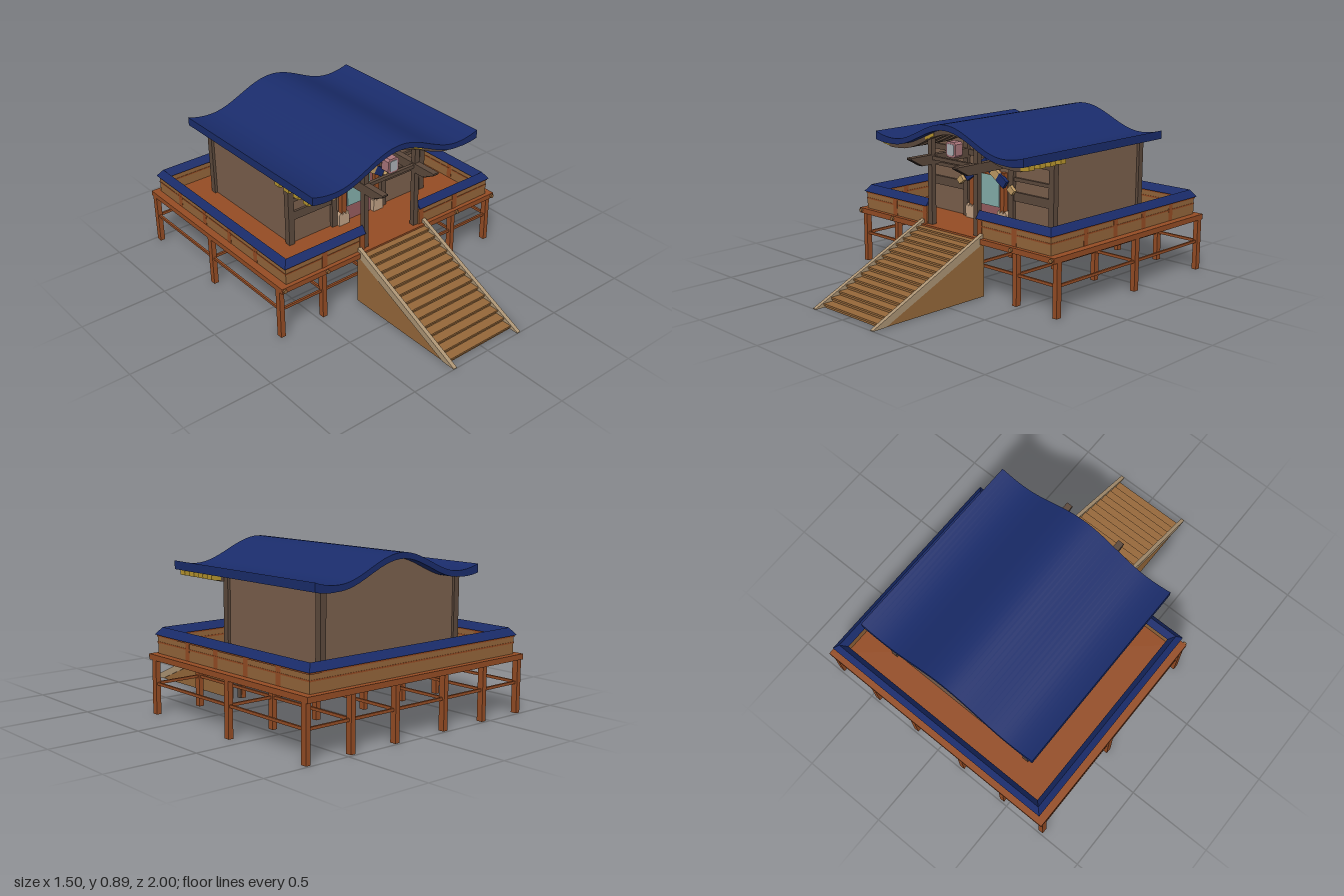
import * as THREE from 'three';
import { toCreasedNormals } from 'three/addons/utils/BufferGeometryUtils.js';

const paint = (color) => new THREE.MeshStandardMaterial({ color });
const M = {
  blue: paint(0x1a2c6b), orange: paint(0x944c24), fence: paint(0x93653a), wall: paint(0x7a5f4c),
  dark: paint(0x5c493c), black: paint(0x352a24), tan: paint(0xbf9a63), stone: paint(0xbfa083),
  gold: paint(0xb8962e), stair: paint(0x96683a), rail: paint(0xac9474), pink: paint(0x965c5e),
  teal: paint(0x84aeaa), frame: paint(0xa8747a), plaque: paint(0xaab0b4),
};

export function createModel() {
  const root = new THREE.Group();

  const add = (name, geo, mat, x = 0, y = 0, z = 0) => {
    const mesh = new THREE.Mesh(geo, mat);
    mesh.name = name;
    mesh.position.set(x, y, z);
    root.add(mesh);
    return mesh;
  };
  // Box given by its lower and upper limits on each axis
  const box = (name, mat, x0, x1, y0, y1, z0, z1) =>
    add(name, new THREE.BoxGeometry(x1 - x0, y1 - y0, z1 - z0), mat, (x0 + x1) / 2, (y0 + y1) / 2, (z0 + z1) / 2);
  // Outline in the x-y plane, extruded from z0 to z1
  const slab = (name, mat, pts, z0, z1) => {
    const shape = new THREE.Shape(pts.map((p) => new THREE.Vector2(p[0], p[1])));
    const geo = new THREE.ExtrudeGeometry(shape, { depth: z1 - z0, bevelEnabled: false });
    return add(name, toCreasedNormals(geo, 0.5), mat, 0, 0, z0);
  };
  // Outline in the z-y plane, extruded from x0 to x1
  const sideSlab = (name, mat, pts, x0, x1) => {
    const mesh = slab(name, mat, pts.map(([z, y]) => [-z, y]), 0, x1 - x0);
    mesh.rotation.y = Math.PI / 2;
    mesh.position.set(x0, 0, 0);
    return mesh;
  };

  // ---- Curved roof profile: swelling centre, upturned eaves
  const roofTop = (x) => {
    const a = Math.abs(x);
    return a < 0.42 ? 0.8335 + 0.0615 * Math.cos((Math.PI * a) / 0.42) : 0.772 + 1.17 * (a - 0.42) ** 2;
  };
  const roofBottom = (x) => roofTop(x) - 0.032 - Math.max(0, Math.abs(x) - 0.42) * 0.1;
  const curve = (x0, x1, f, n = 48) =>
    Array.from({ length: n + 1 }, (_, i) => { const x = x0 + ((x1 - x0) * i) / n; return [x, f(x)]; });
  const band = (x0, x1, top, bottom, n) => [...curve(x0, x1, bottom, n), ...curve(x1, x0, top, n)];

  slab('roof', M.blue, band(-0.563, 0.563, roofTop, roofBottom), -0.835, 0.295);

  // Curved rafters under the front eave, with gilt ends
  const under = (d) => (x) => roofBottom(x) - d;
  for (const z of [-0.01, 0.068, 0.148, 0.23]) {
    slab('rafter', M.dark, band(-0.5, 0.5, under(-0.002), under(0.028)), z - 0.02, z + 0.02);
    for (const s of [-1, 1]) {
      const [a, b] = s < 0 ? [-0.558, -0.5] : [0.5, 0.558];
      slab('rafterTip', M.gold, band(a, b, under(-0.002), under(0.024), 4), z - 0.02, z + 0.02);
    }
  }
  for (const s of [-1, 1]) {
    const [a, b] = s < 0 ? [-0.2, -0.13] : [0.13, 0.2];
    slab('bracketTip', M.gold, band(a, b, under(0.006), under(0.022), 6), 0.245, 0.255);
  }

  // ---- Hall
  slab('hallBody', M.wall, [[-0.465, 0.32], [0.465, 0.32], ...curve(0.465, -0.465, under(-0.004))], -0.768, -0.045);
  for (const s of [-1, 1]) {
    for (const z of [-0.045, -0.763]) {
      box('cornerPillar', M.dark, s * 0.463 - 0.018, s * 0.463 + 0.018, 0.32, 0.745, z - 0.018, z + 0.018);
    }
    box('innerPillar', M.dark, s * 0.175 - 0.017, s * 0.175 + 0.017, 0.32, 0.81, -0.06, -0.025);
    for (const [y, h] of [[0.49, 0.05], [0.585, 0.02]]) {
      const x = s * 0.318;
      box('wallBeam', M.dark, x - 0.13, x + 0.13, y - h / 2, y + h / 2, -0.05, -0.032);
    }
  }
  box('lintel', M.dark, -0.46, 0.46, 0.67, 0.702, -0.05, -0.03);

  // ---- Doorway
  box('doorSurround', M.pink, -0.105, 0.105, 0.32, 0.59, -0.05, -0.036);
  box('doorPanel', M.teal, -0.08, 0.08, 0.41, 0.582, -0.05, -0.03);
  slab('doorGable', M.orange, [[-0.13, 0.585], [0.13, 0.585], [0, 0.66]], -0.04, -0.02);
  const slope = (x) => 0.682 - 0.68 * x;
  const parts = [[0, 0.065, M.blue], [0.065, 0.11, M.tan], [0.11, 0.165, M.blue]];
  for (const s of [-1, 1]) {
    const mirror = (pts) => (s > 0 ? pts : pts.map(([x, y]) => [-x, y]).reverse());
    box('doorPost', M.orange, s * 0.117 - 0.015, s * 0.117 + 0.015, 0.32, 0.61, -0.045, -0.015);
    slab('postFoot', M.stone, mirror([[0.088, 0.32], [0.157, 0.32], [0.157, 0.385], [0.146, 0.402],
      [0.134, 0.384], [0.122, 0.4], [0.11, 0.384], [0.099, 0.402], [0.088, 0.39]]), -0.05, -0.008);
    // Striped bargeboard over the door; its stripes are cut square to the slope
    for (const [a, b, mat] of parts) {
      const ca = a === 0 ? 0 : 0.027, cb = 0.027;
      slab('bargeboard', mat, mirror([[a - ca, slope(a) - (a === 0 ? 0.058 : 0.04)],
        [b - cb, slope(b) - 0.04], [b, slope(b)], [a, slope(a)]]), -0.022, 0);
    }
    slab('bargeboardTip', M.tan, mirror([[0.165, 0.528], [0.2, 0.502], [0.222, 0.527], [0.19, 0.555]]), -0.022, 0);
  }

  // ---- Porch: pillars, projecting beams, cross beam and hanging plaque
  for (const s of [-1, 1]) {
    const x = s * 0.175;
    box('porchPillar', M.dark, x - 0.015, x + 0.015, 0, 0.815, 0.213, 0.243);
    sideSlab('porchBeam', M.dark, [[-0.045, 0.655], [-0.045, 0.708], [0.39, 0.708], [0.39, 0.7], [0.31, 0.655]], x - 0.018, x + 0.018);
    sideSlab('beamNose', M.black, [[0.312, 0.654], [0.312, 0.66], [0.391, 0.704], [0.391, 0.698]], x - 0.0185, x + 0.0185);
  }
  box('porchCrossBeam', M.dark, -0.165, 0.165, 0.68, 0.7, 0.218, 0.238);
  const octagon = (w, h, c) => [[-w + c, -h], [w - c, -h], [w, -h + c], [w, h - c], [w - c, h], [-w + c, h], [-w, h - c], [-w, -h + c]]
    .map(([x, y]) => [x, y + 0.758]);
  slab('plaqueFrame', M.frame, octagon(0.036, 0.042, 0.012), 0.2, 0.252);
  slab('plaqueFace', M.plaque, octagon(0.024, 0.03, 0.006), 0.245, 0.256);

  // ---- Raised platform on a grid of posts
  box('platform', M.orange, -0.75, 0.75, 0.29, 0.32, -1, 0.272);
  const cols = [-0.735, -0.46, -0.17, 0.17, 0.46, 0.735], rows = [-0.972, -0.4, 0.228];
  for (const x of cols) {
    for (const z of rows) box('platformPost', M.orange, x - 0.014, x + 0.014, 0, 0.295, z - 0.017, z + 0.017);
    box('tieRailLong', M.orange, x - 0.006, x + 0.006, 0.158, 0.173, rows[0], rows[2]);
    if (Math.abs(x) > 0.2) {
      const log = new THREE.CylinderGeometry(0.011, 0.011, 0.04, 10).rotateX(Math.PI / 2);
      add('logEnd', log, M.fence, x, 0.306, 0.262);
    }
  }
  for (const z of rows) box('tieRailCross', M.orange, cols[0], cols[5], 0.158, 0.173, z - 0.006, z + 0.006);

  // ---- Fence: a profile of [inset, height] swept round the platform with mitred corners
  const sweep = (name, mat, profile) => {
    const X = 0.72, F = 0.26, B = -0.978, G = 0.192;
    const rings = profile.map(([o, y]) => [[-G, F - o], [o - X, F - o], [o - X, B + o], [X - o, B + o], [X - o, F - o], [G, F - o]]
      .map(([x, z]) => [x, y, z]));
    const pos = [], n = profile.length;
    const tri = (...pts) => pts.forEach((p) => pos.push(...p));
    for (let j = 0; j < n; j++) {
      const p = rings[j], q = rings[(j + 1) % n];
      for (let i = 0; i < 5; i++) {
        tri(p[i], q[i], q[i + 1]);
        tri(p[i], q[i + 1], p[i + 1]);
      }
    }
    for (let j = 1; j < n - 1; j++) {
      tri(rings[0][0], rings[j + 1][0], rings[j][0]);
      tri(rings[0][5], rings[j][5], rings[j + 1][5]);
    }
    const geo = new THREE.BufferGeometry();
    geo.setAttribute('position', new THREE.Float32BufferAttribute(pos, 3));
    geo.computeVertexNormals();
    add(name, geo, mat);
  };
  const rect = (a, b, y0, y1) => [[a, y0], [a, y1], [b, y1], [b, y0]];
  sweep('fenceWall', M.fence, rect(0.012, 0.044, 0.32, 0.42));
  sweep('fenceMidRail', M.orange, rect(0.01, 0.046, 0.376, 0.384));
  sweep('fenceTopRail', M.orange, rect(0.008, 0.048, 0.41, 0.421));
  sweep('fenceCap', M.blue, [[0, 0.42], [0.03, 0.46], [0.06, 0.42]]);
  const fencePost = (x, z) => box('fencePost', M.orange, x - 0.017, x + 0.017, 0.32, 0.415, z - 0.017, z + 0.017);
  for (const s of [-1, 1]) {
    for (const z of [-0.745, -0.5, -0.26, -0.02]) fencePost(s * 0.692, z);
    for (const x of [0.21, 0.46]) fencePost(s * x, 0.234);
  }

  // ---- Stairs with solid sides and sloped side rails
  const steps = 14, rise = 0.31 / steps, run = 0.69 / steps;
  for (let i = 0; i < steps; i++) {
    const y = 0.31 - i * rise, z = 0.26 + i * run;
    box('tread', M.stair, -0.216, 0.216, y - 0.01, y, z - 0.008, z + run);
    box('riser', M.stair, -0.214, 0.214, y - rise, y - 0.008, z + run - 0.014, z + run - 0.006);
  }
  for (const s of [-1, 1]) {
    const x = s * 0.228;
    sideSlab('stairSide', M.stair, [[0.24, 0], [0.24, 0.3], [0.93, 0]], x - 0.007, x + 0.007);
    sideSlab('stairRail', M.rail, [[0.25, 0.292], [0.25, 0.343], [1, 0.004], [1, 0], [0.92, 0]], x - 0.011, x + 0.011);
  }
  return root;
}
